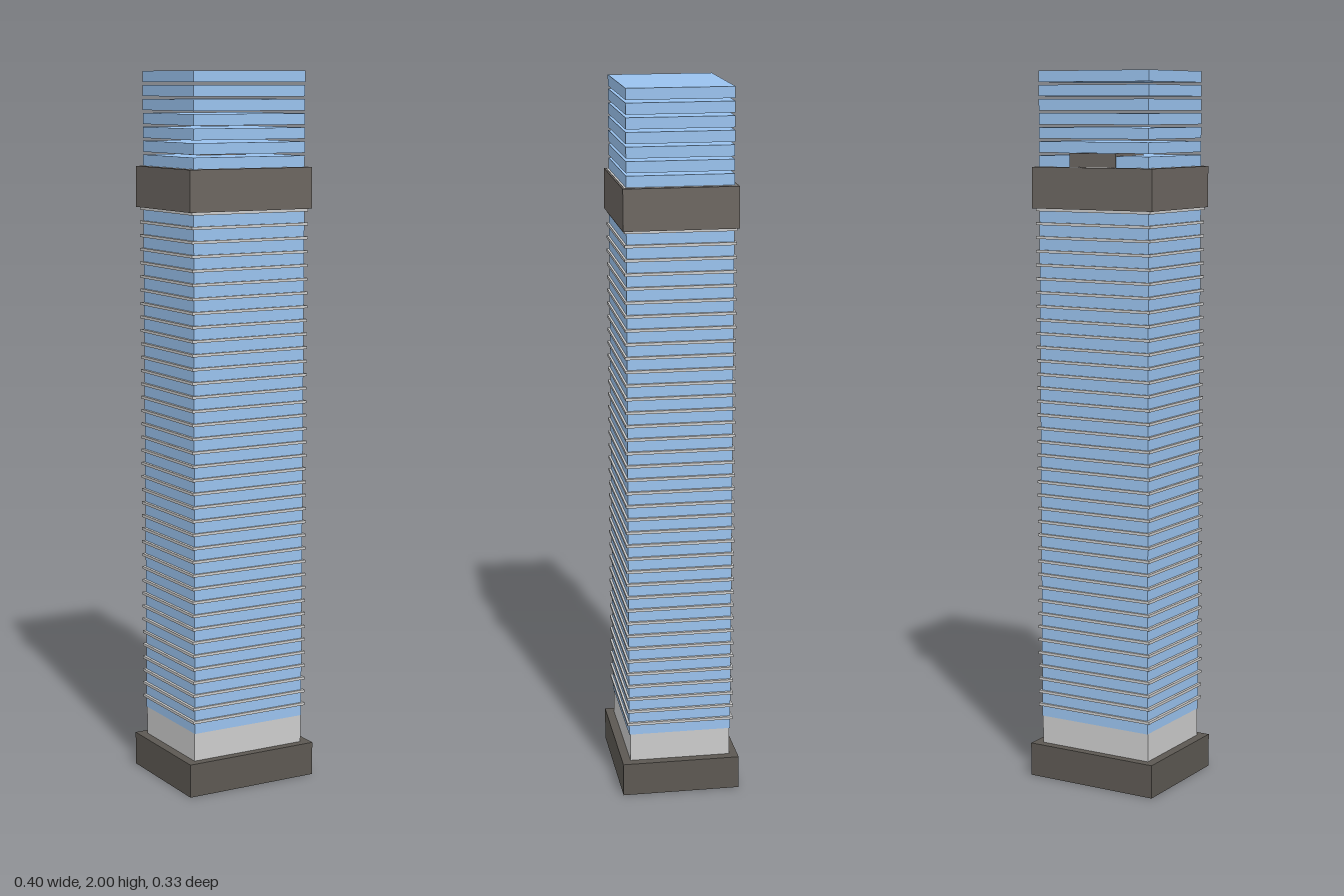
import * as THREE from 'three';

export function createModel() {
  const model = new THREE.Group();
  model.name = 'tower';

  const mat = (color) => new THREE.MeshStandardMaterial({ color });
  const glass = mat(0x99c2ee);
  const concrete = mat(0xcccccc);
  const darkStone = mat(0x5c5852);
  const bronze = mat(0x6b6560);

  // Box given by its half width, half depth and vertical span
  function block(name, halfX, halfZ, y0, y1, material, parent = model) {
    const mesh = new THREE.Mesh(new THREE.BoxGeometry(2 * halfX, y1 - y0, 2 * halfZ), material);
    mesh.position.y = (y0 + y1) / 2;
    mesh.name = name;
    parent.add(mesh);
    return mesh;
  }

  const lobbyTop = 0.175;
  const floors = 48;
  const slabHeight = 0.0077;
  const pitch = (2 + slabHeight - lobbyTop) / floors;
  const level = (i) => lobbyTop + i * pitch;
  const beltFrom = 38;
  const beltTo = 41;

  // Podium and lobby
  block('podium', 0.2, 0.167, 0, 0.095, darkStone);
  block('lobby', 0.174, 0.143, 0.095, lobbyTop, concrete);

  // Glazed storeys; slabs fill the gaps up to the top of the belt, open gaps above
  const storeys = new THREE.Group();
  storeys.name = 'storeys';
  model.add(storeys);
  for (let i = 0; i < floors; i++) {
    const top = level(i + 1) - slabHeight;
    block('glassStorey', 0.174, 0.146, level(i), top, glass, storeys);
    if (i < beltTo) block('floorSlab', 0.182, 0.152, top, level(i + 1), concrete, storeys);
  }

  // Mechanical belt around three storeys
  block('mechanicalBelt', 0.191, 0.157, level(beltFrom), level(beltTo) - 0.001, bronze);

  // Service box standing on the belt, breaking through the back wall
  const box = block('serviceBox', 0.073, 0.075, level(beltTo), 1.778, bronze);
  box.position.z = -0.075;

  return model;
}
